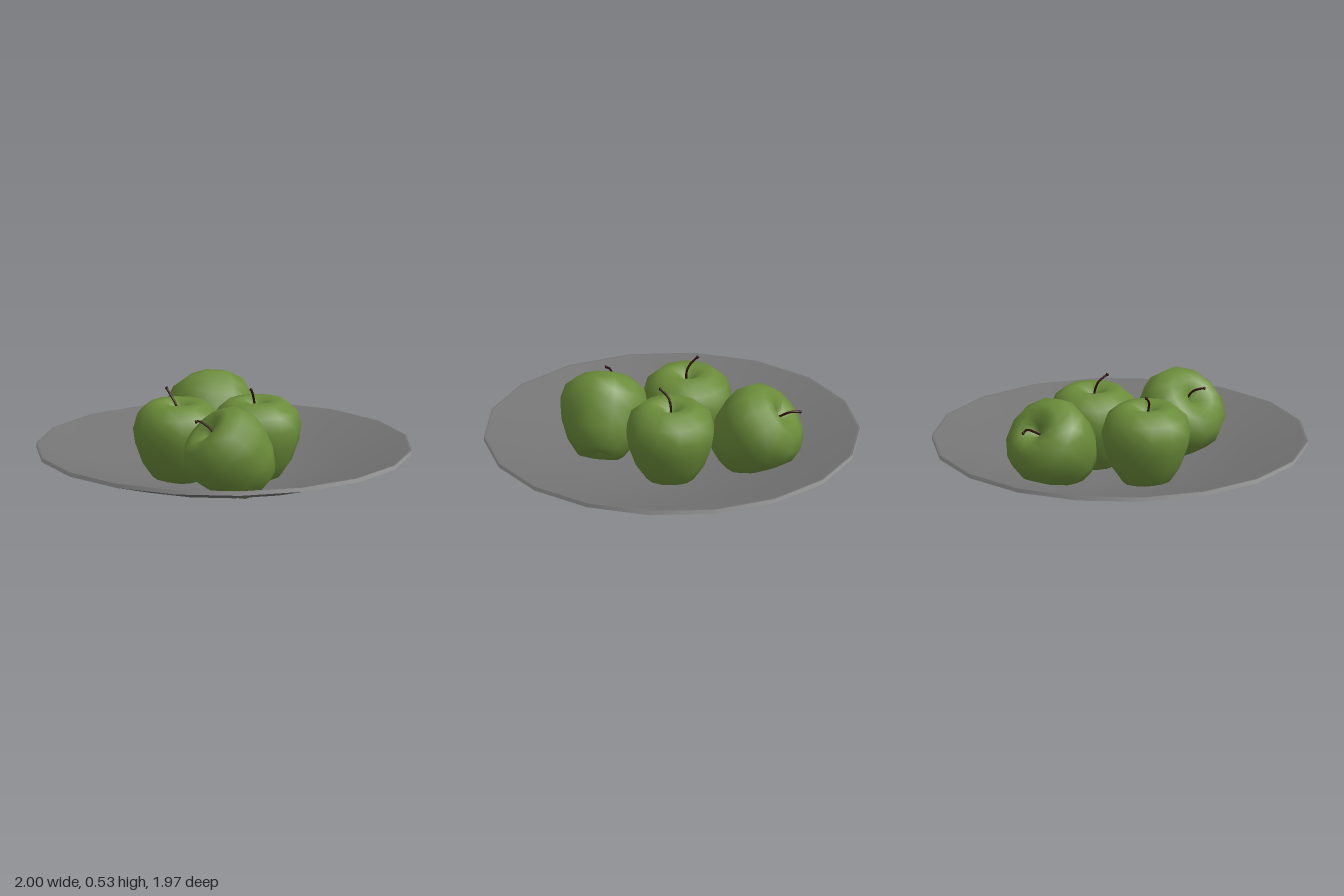
import * as THREE from 'three';

const material = (name, color) => {
  const m = new THREE.MeshStandardMaterial({ color });
  m.name = name;
  return m;
};

const lathe = (name, points, segments, mat, phiStart = 0) => {
  const profile = points.map(([r, y]) => new THREE.Vector2(r, y));
  const mesh = new THREE.Mesh(new THREE.LatheGeometry(profile, segments, phiStart), mat);
  mesh.name = name;
  return mesh;
};

// Apple cross-section about its own centre, from base dimple to stem hollow
const APPLE = [
  [0, -0.185], [0.05, -0.212], [0.125, -0.2], [0.188, -0.11], [0.228, 0], [0.24, 0.08],
  [0.217, 0.16], [0.155, 0.213], [0.095, 0.22], [0.04, 0.19], [0, 0.14],
];

// Each apple has a centre, the direction its top points, and a stem path
const APPLES = [
  { name: 'rightApple', centre: [0.175, 0.235, 0.05], axis: [0, 1, 0],
    stem: [[0.175, 0.37, 0.05], [0.165, 0.44, 0.045], [0.148, 0.49, 0.055], [0.112, 0.525, 0.09]] },
  { name: 'leftApple', centre: [-0.207, 0.24, -0.13], axis: [0, 1, 0],
    stem: [[-0.207, 0.375, -0.13], [-0.22, 0.445, -0.13], [-0.232, 0.485, -0.15], [-0.235, 0.525, -0.195]] },
  { name: 'frontApple', centre: [-0.175, 0.25, 0.335], axis: [-0.66, 0.7, -0.22],
    stem: [[-0.24, 0.345, 0.305], [-0.295, 0.42, 0.268], [-0.335, 0.45, 0.252], [-0.37, 0.455, 0.272]] },
  { name: 'backApple', centre: [0.2, 0.257, -0.395], axis: [0.3, 0.64, -0.7],
    stem: [[0.24, 0.34, -0.48], [0.27, 0.375, -0.53], [0.288, 0.4, -0.58], [0.29, 0.396, -0.632]] },
];

export function createModel() {
  const model = new THREE.Group();
  model.name = 'plateOfApples';
  const grey = material('plateGrey', 0x747474);
  const pale = material('rimGrey', 0xa3a3a3);
  const green = material('appleGreen', 0x6b8c3a);
  const brown = material('stemBrown', 0x2e0b0b);

  // Shallow eighteen-sided plate: underside, pale rim band, lip and bowl
  const plate = new THREE.Group();
  plate.name = 'plate';
  const turn = Math.PI / 18;
  plate.add(
    lathe('plateUnderside', [[0, 0], [0.18, 0.004], [0.42, 0.035], [0.69, 0.1], [1, 0.19]], 18, grey, turn),
    lathe('plateRim', [[1, 0.19], [1, 0.213]], 18, pale, turn),
    lathe('plateLip', [[1, 0.213], [0.99, 0.213]], 18, grey, turn),
    lathe('plateBowl', [[0.99, 0.213], [0.69, 0.125], [0.42, 0.06], [0.18, 0.03], [0, 0.026]], 18, grey, turn),
  );
  model.add(plate);

  // Apples, two upright and two leaning
  const up = new THREE.Vector3(0, 1, 0);
  for (const { name, centre, axis, stem } of APPLES) {
    const apple = new THREE.Group();
    apple.name = name;

    const body = lathe('appleBody', APPLE, 12, green);
    body.position.set(...centre);
    body.quaternion.setFromUnitVectors(up, new THREE.Vector3(...axis).normalize());

    // Curved stem with a knob at its end
    const path = new THREE.CatmullRomCurve3(stem.map((p) => new THREE.Vector3(...p)));
    const stalk = new THREE.Mesh(new THREE.TubeGeometry(path, 8, 0.006, 6), brown);
    stalk.name = 'stem';
    const knob = new THREE.Mesh(new THREE.SphereGeometry(0.009, 6, 4), brown);
    knob.name = 'stemTip';
    knob.position.copy(path.getPoint(1));

    apple.add(body, stalk, knob);
    model.add(apple);
  }
  return model;
}
